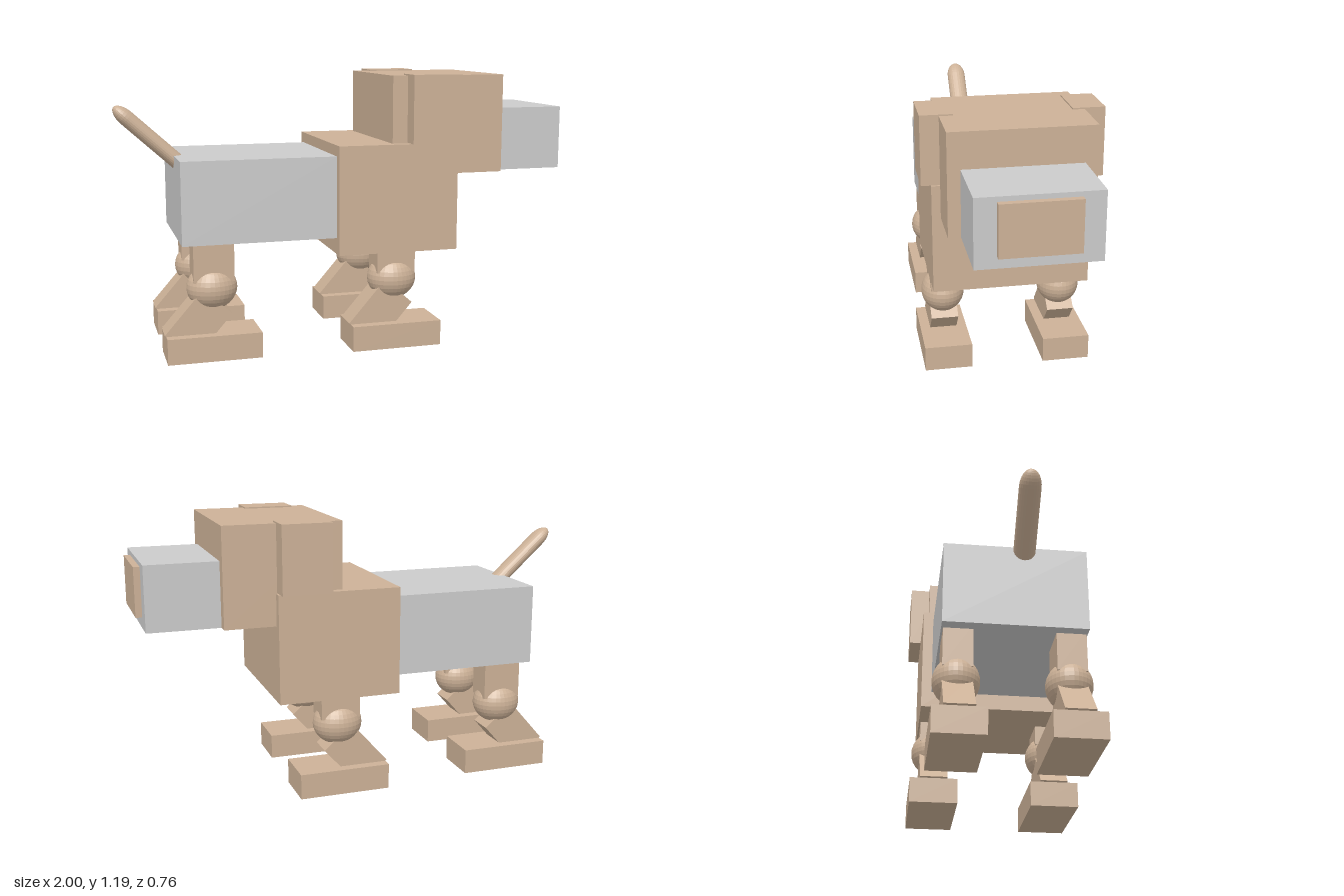
import * as THREE from 'three';

const YAW = 0.013; // the whole animal is turned very slightly

export function createModel() {
  const model = new THREE.Group();
  model.name = 'dog';
  const brown = new THREE.MeshStandardMaterial({ color: 0xccb197, flatShading: true });
  const grey = new THREE.MeshStandardMaterial({ color: 0xcccccc, flatShading: true });

  function add(parent, name, geometry, material, x, y, z) {
    const mesh = new THREE.Mesh(geometry, material);
    mesh.name = name;
    mesh.position.set(x, y, z);
    parent.add(mesh);
    return mesh;
  }

  // Block given by its limits on each axis
  function block(name, material, [x0, x1], [y0, y1], [z0, z1]) {
    const geometry = new THREE.BoxGeometry(x1 - x0, y1 - y0, z1 - z0);
    const mesh = add(model, name, geometry, material, (x0 + x1) / 2, (y0 + y1) / 2, (z0 + z1) / 2);
    mesh.rotation.y = YAW;
    return mesh;
  }

  // Trunk and head
  block('body', grey, [-0.757, -0.09], [0.49, 0.843], [-0.274, 0.304]);
  block('chest', brown, [-0.095, 0.441], [0.42, 0.89], [-0.326, 0.338]);
  block('head', brown, [0.153, 0.662], [0.752, 1.18], [-0.293, 0.298]);
  block('snout', grey, [0.65, 0.971], [0.752, 1.03], [-0.248, 0.241]);
  block('nose', brown, [0.965, 0.998], [0.8, 1.01], [-0.162, 0.153]);
  block('leftEar', brown, [0.217, 0.432], [0.893, 1.186], [-0.379, -0.243]);
  block('rightEar', brown, [0.224, 0.443], [0.893, 1.186], [0.243, 0.377]);

  // Legs: thigh, ball knee, slanted shin and foot, around the knee's x position
  const legs = [
    ['frontRightLeg', 0.166, 0.268], ['frontLeftLeg', 0.166, -0.258],
    ['backRightLeg', -0.625, 0.242], ['backLeftLeg', -0.625, -0.204],
  ];
  for (const [name, x, z] of legs) {
    const leg = new THREE.Group();
    leg.name = name;
    leg.position.set(x, 0, z);
    leg.rotation.y = YAW;
    model.add(leg);
    add(leg, 'thigh', new THREE.BoxGeometry(0.172, 0.18, 0.12), brown, 0.002, 0.42, 0);
    add(leg, 'knee', new THREE.SphereGeometry(1, 32, 16), brown, 0, 0.298, 0).scale.set(0.108, 0.096, 0.095);
    add(leg, 'shin', new THREE.BoxGeometry(0.165, 0.245, 0.12), brown, -0.067, 0.153, 0).rotation.z = -0.72;
    add(leg, 'foot', new THREE.BoxGeometry(0.4, 0.11, 0.208), brown, -0.004, 0.055, 0);
  }

  // Tail: flattened, stretched capsule rising from the rump
  const tail = add(model, 'tail', new THREE.CapsuleGeometry(0.045, 0.22, 8, 24), brown, -0.815, 0.885, 0.055);
  tail.scale.set(0.75, 1.6, 1);
  tail.rotation.z = 0.83;

  return model;
}
